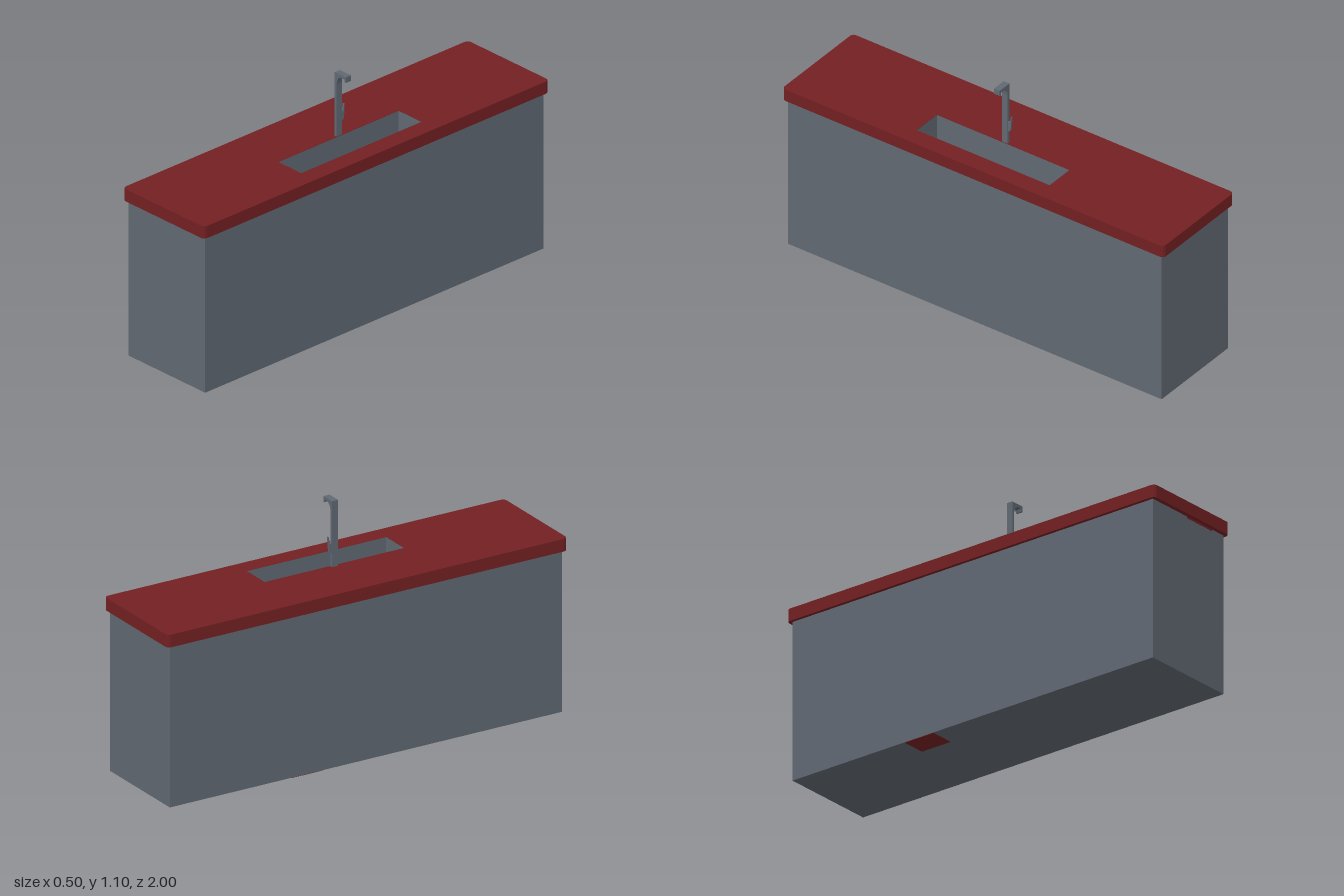
import * as THREE from 'three';

const red = new THREE.MeshStandardMaterial({ color: 0x732022 });
red.name = 'deep red';
const grey = new THREE.MeshStandardMaterial({ color: 0x606872, side: THREE.DoubleSide });
grey.name = 'slate grey';

// Sink opening in the worktop
const SINK = { x0: 0.025, x1: 0.165, z0: -0.34, z1: 0.355, floor: 0.6 };
const TOP = 0.8, UNDER = 0.742;

export function createModel() {
  const model = new THREE.Group();
  model.name = 'kitchenIsland';

  const add = (name, geometry, material, x = 0, y = 0, z = 0) => {
    const mesh = new THREE.Mesh(geometry, material);
    mesh.name = name;
    mesh.position.set(x, y, z);
    model.add(mesh);
    return mesh;
  };

  // Box without its top face, standing on y = 0
  const openBox = (w, h, d) => {
    const g = new THREE.BoxGeometry(w, h, d).translate(0, h / 2, 0);
    const index = Array.from(g.index.array).filter((_, i) => i < 12 || i > 17);
    g.setIndex(index);
    g.clearGroups();
    return g;
  };

  // Cabinet
  add('cabinet', openBox(0.474, UNDER - 0.002, 1.96), grey, 0, 0.002, 0);

  // Worktop with clipped corners and a sink cut-out; shape y becomes -z
  const X = 0.252, Z = 1, cx = 0.014, cz = 0.02;
  const outline = new THREE.Shape([
    [X, -Z + cz], [X, Z - cz], [X - cx * 0.3, Z - cz * 0.3], [X - cx, Z],
    [-X + cx, Z], [-X + cx * 0.3, Z - cz * 0.3], [-X, Z - cz], [-X, -Z + cz],
    [-X + cx * 0.3, -Z + cz * 0.3], [-X + cx, -Z], [X - cx, -Z], [X - cx * 0.3, -Z + cz * 0.3],
  ].map(([x, y]) => new THREE.Vector2(x, y)));
  const e = 0.001;
  outline.holes.push(new THREE.Path([
    [SINK.x0 - e, -SINK.z1 - e], [SINK.x0 - e, -SINK.z0 + e],
    [SINK.x1 + e, -SINK.z0 + e], [SINK.x1 + e, -SINK.z1 - e],
  ].map(([x, y]) => new THREE.Vector2(x, y))));
  const slab = new THREE.ExtrudeGeometry(outline, { depth: TOP - UNDER, bevelEnabled: false });
  add('worktop', slab.rotateX(-Math.PI / 2), red, 0, UNDER, 0);

  // Sink basin and its drain
  const sx = (SINK.x0 + SINK.x1) / 2, sz = (SINK.z0 + SINK.z1) / 2;
  add('sinkBasin', openBox(SINK.x1 - SINK.x0, TOP - SINK.floor, SINK.z1 - SINK.z0), grey, sx, SINK.floor, sz);
  add('drain', new THREE.BoxGeometry(0.034, 0.004, 0.062), red, 0.117, SINK.floor + 0.002, 0);

  // Painted patches under the cabinet and below the front edge of the worktop
  add('undersidePatch', new THREE.BoxGeometry(0.115, 0.004, 0.155), red, -0.1785, 0.002, -0.2925);
  add('frontPatch', new THREE.BoxGeometry(0.165, 0.008, 0.002), red, 0.075, UNDER - 0.004, 0.98);

  // Faucet: post, bracket curve, arm and downturned spout in one profile
  const tap = new THREE.Shape();
  tap.moveTo(0.009, TOP - 0.005);
  tap.lineTo(0.021, TOP - 0.005);
  tap.lineTo(0.021, 1.05);
  tap.lineTo(0.024, 1.068);
  tap.quadraticCurveTo(0.031, 1.083, 0.046, 1.088);
  tap.lineTo(0.068, 1.089);
  tap.lineTo(0.071, 1.076);
  tap.lineTo(0.078, 1.076);
  tap.lineTo(0.078, 1.102);
  tap.lineTo(0.009, 1.102);
  tap.closePath();
  add('faucet', new THREE.ExtrudeGeometry(tap, { depth: 0.03, bevelEnabled: false, curveSegments: 4 }),
    grey, 0, 0, -0.014);

  // Lever on the back side of the post
  const lever = new THREE.Shape([
    [-0.012, 0.86], [-0.028, 0.872], [-0.033, 0.94], [-0.029, 0.94], [-0.024, 0.905], [-0.012, 0.915],
  ].map(([z, y]) => new THREE.Vector2(-z, y)));
  const leverGeo = new THREE.ExtrudeGeometry(lever, { depth: 0.009, bevelEnabled: false });
  add('faucetLever', leverGeo.rotateY(Math.PI / 2), grey, 0.0105, 0, 0);

  return model;
}
